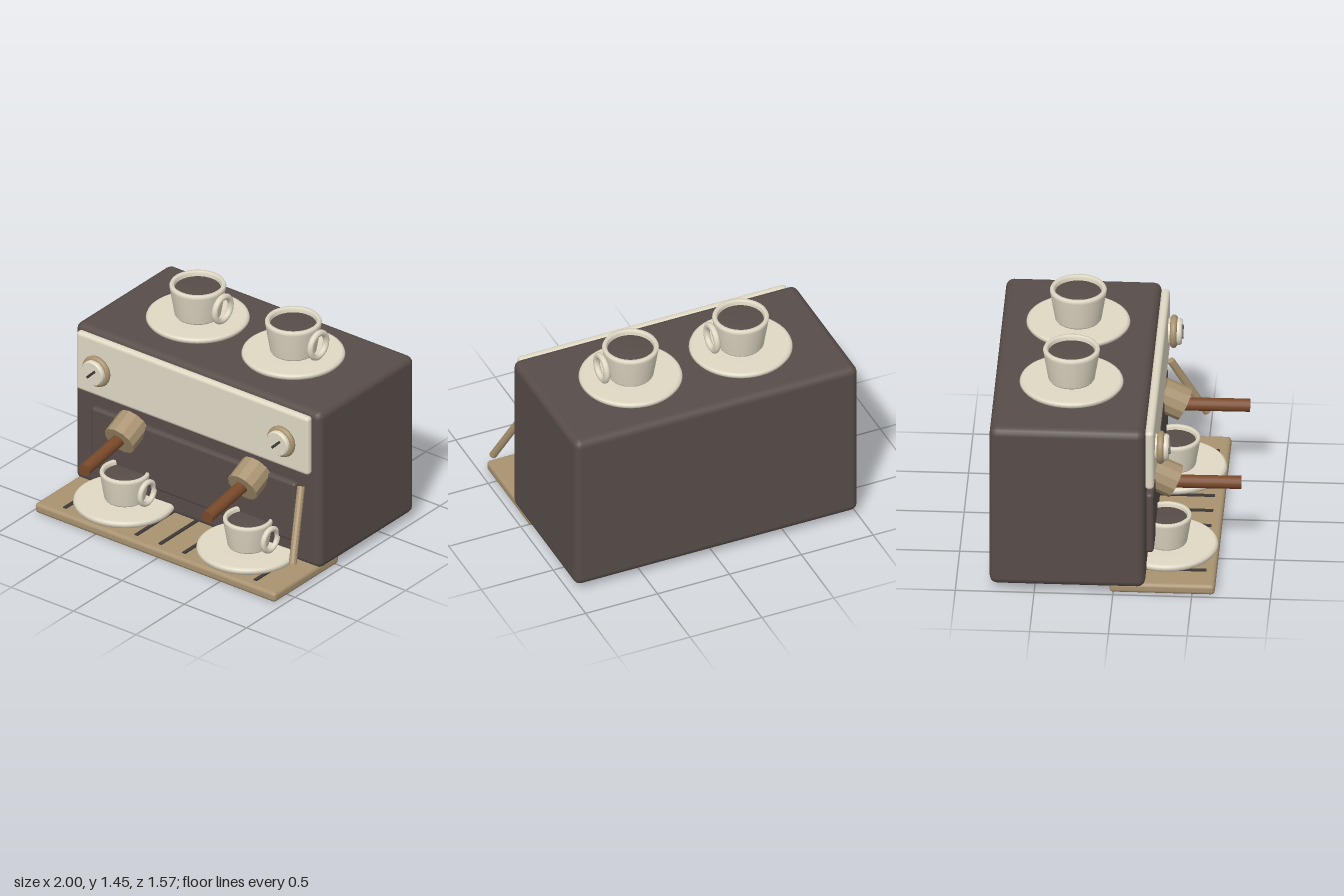
import * as THREE from 'three';
import { RoundedBoxGeometry } from 'three/addons/geometries/RoundedBoxGeometry.js';

function material(name, color) {
  const m = new THREE.MeshStandardMaterial({ color });
  m.name = name;
  return m;
}

const V = (x, y, z) => new THREE.Vector3(x, y, z);

export function createModel() {
  const charcoal = material('charcoal', 0x574d49);
  const dark = material('dark', 0x3f3836);
  const cream = material('cream', 0xdfd8c4);
  const tan = material('tan', 0xa89270);
  const wood = material('wood', 0x7a4a2b);

  const model = new THREE.Group();
  model.name = 'espressoMachine';

  function add(parent, name, geometry, mat, x = 0, y = 0, z = 0) {
    const mesh = new THREE.Mesh(geometry, mat);
    mesh.name = name;
    mesh.position.set(x, y, z);
    parent.add(mesh);
    return mesh;
  }

  // Rounded box given by its minimum and maximum corners
  function block(name, mat, min, max, radius) {
    const size = max.clone().sub(min);
    const c = min.clone().add(max).multiplyScalar(0.5);
    return add(model, name, new RoundedBoxGeometry(size.x, size.y, size.z, 2, radius), mat, c.x, c.y, c.z);
  }

  // Cylinder running from a to b
  function rod(name, mat, a, b, radius, sides) {
    const dir = b.clone().sub(a);
    let g = new THREE.CylinderGeometry(radius, radius, dir.length(), sides);
    if (sides <= 12) {
      g = g.toNonIndexed();
      g.computeVertexNormals();
    }
    const mesh = add(model, name, g, mat);
    mesh.position.copy(a).add(b).multiplyScalar(0.5);
    mesh.quaternion.setFromUnitVectors(V(0, 1, 0), dir.normalize());
    return mesh;
  }

  const lathe = (pts, n = 40) => new THREE.LatheGeometry(pts.map(([x, y]) => new THREE.Vector2(x, y)), n);

  // Housing, control panel, splash plate and drip tray
  block('body', charcoal, V(-1, 0.045, -0.785), V(0.97, 1.18, 0.203), 0.05);
  block('controlPanel', cream, V(-0.95, 0.738, 0.2), V(0.915, 1.156, 0.257), 0.025);
  block('splashPlate', charcoal, V(-0.835, 0.215, 0.195), V(0.805, 0.642, 0.25), 0.022);
  block('dripTray', tan, V(-0.978, 0, -0.025), V(0.95, 0.07, 0.645), 0.025);

  // Tray slots
  for (let i = 0; i < 9; i++) {
    add(model, 'traySlot', new THREE.BoxGeometry(0.024, 0.012, 0.42), dark, -0.783 + i * 0.191, 0.072, 0.372);
  }

  // Knobs with a slanted pointer
  for (const x of [-0.755, 0.728]) {
    const knob = new THREE.Group();
    knob.name = 'knob';
    knob.position.set(x, 0.947, 0.25);
    model.add(knob);
    add(knob, 'knobRing', new THREE.TorusGeometry(0.084, 0.023, 10, 36), tan, 0, 0, 0.041);
    const cap = add(knob, 'knobCap', new THREE.CylinderGeometry(0.078, 0.086, 0.012, 36), cream, 0, 0, 0.086);
    const base = add(knob, 'knobBase', new THREE.CylinderGeometry(0.086, 0.086, 0.08, 36), cream, 0, 0, 0.04);
    cap.rotation.x = base.rotation.x = Math.PI / 2;
    add(knob, 'knobPointer', new THREE.BoxGeometry(0.085, 0.016, 0.012), dark, 0, 0, 0.096).rotation.z = Math.PI / 4;
  }

  // Filter holders with wooden handles
  for (const x of [-0.508, 0.479]) {
    rod('filterHead', tan, V(x, 0.633, 0.22), V(x, 0.561, 0.372), 0.111, 12);
    rod('filterHandle', wood, V(x - 0.008, 0.566, 0.35), V(x + 0.038, 0.543, 0.785), 0.042, 16);
  }

  // Steam wand
  rod('steamWand', tan, V(0.865, 0.655, 0.262), V(0.972, 0.225, 0.488), 0.025, 10);

  // Cups on saucers: s scales the cup only
  const saucerGeo = lathe([[0, 0], [0.295, 0], [0.318, 0.008], [0.33, 0.024], [0.325, 0.038], [0.308, 0.047], [0, 0.04]], 48);
  const cupGeo = lathe([[0, 0], [0.14, 0], [0.148, 0.012], [0.179, 0.2], [0.181, 0.212],
    [0.174, 0.226], [0.156, 0.226], [0.149, 0.212], [0.145, 0.17]]);
  const coffeeGeo = lathe([[0.147, 0], [0.147, 0.012], [0, 0.014]]);
  const handleGeo = new THREE.TorusGeometry(0.082, 0.021, 10, 32).rotateY(Math.PI / 2);

  function cupAndSaucer(x, y, z, s) {
    const set = new THREE.Group();
    set.name = 'cupAndSaucer';
    set.position.set(x, y, z);
    model.add(set);
    add(set, 'saucer', saucerGeo, cream).scale.y = s < 1 ? 1.2 : 1;
    const cup = new THREE.Group();
    cup.name = 'cup';
    cup.position.y = s < 1 ? 0.053 : 0.045;
    cup.scale.setScalar(s);
    set.add(cup);
    add(cup, 'cupWall', cupGeo, cream);
    add(cup, 'coffee', coffeeGeo, charcoal, 0, 0.182, 0);
    add(cup, 'cupHandle', handleGeo, cream, 0.2, 0.107, 0);
  }

  cupAndSaucer(-0.396, 1.18, -0.296, 1);
  cupAndSaucer(0.37, 1.18, -0.296, 1);
  cupAndSaucer(-0.508, 0.07, 0.313, 0.89);
  cupAndSaucer(0.48, 0.07, 0.313, 0.89);

  return model;
}
